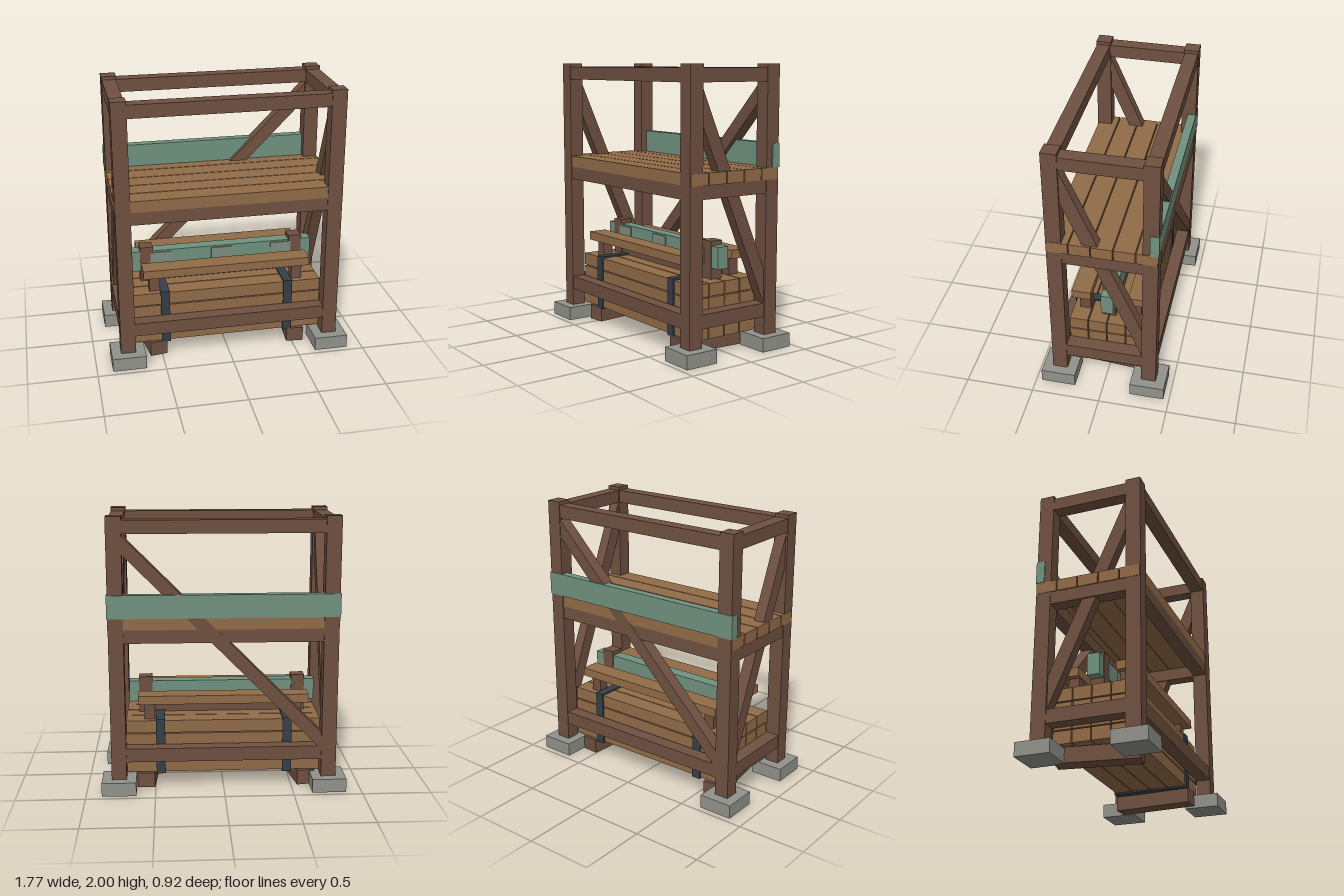
import * as THREE from 'three';

const mat = (name, color) => {
  const m = new THREE.MeshStandardMaterial({ color });
  m.name = name;
  return m;
};

export function createModel() {
  const model = new THREE.Group();
  model.name = 'timberRack';
  const timber = mat('dark timber', 0x6e5040);
  const plank = mat('plank wood', 0x916b47);
  const green = mat('green paint', 0x70917f);
  const stone = mat('footing concrete', 0x91928a);
  const steel = mat('strap steel', 0x353f47);
  const plate = mat('grey plate', 0x7e8d80);

  // Box given by its lower and upper limits on each axis
  const box = (name, m, x0, x1, y0, y1, z0, z1) => {
    const mesh = new THREE.Mesh(new THREE.BoxGeometry(x1 - x0, y1 - y0, z1 - z0), m);
    mesh.position.set((x0 + x1) / 2, (y0 + y1) / 2, (z0 + z1) / 2);
    mesh.name = name;
    model.add(mesh);
    return mesh;
  };
  // Diagonal brace with ends cut flush against the posts
  const brace = (name, points, depth) => {
    const shape = new THREE.Shape(points.map(([a, b]) => new THREE.Vector2(a, b)));
    const geo = new THREE.ExtrudeGeometry(shape, { depth, bevelEnabled: false });
    const mesh = new THREE.Mesh(geo, timber);
    mesh.name = name;
    model.add(mesh);
    return mesh;
  };

  // Posts on footings
  for (const sx of [-1, 1]) for (const sz of [-1, 1]) {
    const x = sx * 0.762, z = sz * 0.332;
    box('post', timber, x - 0.054, x + 0.054, 0.1, 2, z - 0.054, z + 0.054);
    box('footing', stone, x - 0.124, x + 0.124, 0, 0.1, z - 0.126, z + 0.126);
  }

  // Three levels of rails on all four sides
  for (const [y0, y1] of [[0.23, 0.33], [1.11, 1.205], [1.88, 1.975]]) {
    for (const s of [-1, 1]) {
      box('longRail', timber, -0.71, 0.71, y0, y1, s * 0.332 - 0.049, s * 0.332 + 0.049);
      box('endRail', timber, s * 0.762 - 0.05, s * 0.762 + 0.05, y0, y1, -0.28, 0.28);
    }
  }

  // Back and end braces
  brace('backBrace', [[0.71, 1.87], [-0.71, 0.43], [-0.71, 0.3], [0.71, 1.74]], 0.09)
    .position.z = -0.382;
  for (const s of [-1, 1]) {
    const b = brace('endBrace', [[-0.278, 1.86], [-0.278, 1.615], [0.278, 0.33], [0.278, 0.573]], 0.08);
    b.rotation.y = Math.PI / 2;
    b.position.x = s * 0.762 - 0.04;
  }

  // Upper deck and its back board
  for (let i = -2; i <= 2; i++) {
    const z = i * 0.154;
    box('deckPlank', plank, -0.819, 0.819, 1.204, 1.288, z - 0.073, z + 0.073);
  }
  box('backBoard', green, -0.823, 0.823, 1.288, 1.455, -0.39, -0.327);

  // Bearers lying slightly askew under the stack
  for (const [x, yaw] of [[-0.567, 0.15], [0.546, -0.08]]) {
    const b = box('bearer', timber, x - 0.064, x + 0.064, 0, 0.11, -0.29, 0.29);
    b.rotation.y = yaw;
  }

  // Stacked planks, four by four
  for (let row = 0; row < 4; row++) for (let col = 0; col < 4; col++) {
    const y = 0.115 + row * 0.1, z = (col - 1.5) * 0.138;
    box('stackPlank', plank, -0.708, 0.708, y, y + 0.092, z - 0.065, z + 0.065);
  }

  // Steel straps around the stack
  for (const x of [-0.467, 0.459]) {
    const a = x - 0.033, b = x + 0.033;
    box('strapTop', steel, a, b, 0.508, 0.52, -0.284, 0.284);
    box('strapBottom', steel, a, b, 0.104, 0.115, -0.284, 0.284);
    for (const s of [-1, 1])
      box('strapSide', steel, a, b, 0.104, 0.52, s * 0.279 - 0.006, s * 0.279 + 0.006);
  }

  // Trestle on the stack: beam, uprights, blocks and side planks
  box('trestleBeam', timber, -0.57, 0.57, 0.507, 0.605, -0.04, 0.04);
  for (const s of [-1, 1]) {
    box('trestleUpright', timber, s * 0.568 - 0.049, s * 0.568 + 0.049, 0.507, 0.778, -0.049, 0.049);
    for (const z of [-0.188, 0.188])
      box('trestleBlock', timber, s * 0.537 - 0.039, s * 0.537 + 0.039, 0.507, 0.632, z - 0.04, z + 0.04);
    const z = s * 0.207;
    box('sidePlank', plank, -0.622, 0.62, 0.63, 0.693, z - 0.07, z + 0.07);
  }

  // Green centre board with three plates on its front
  box('centreBoard', green, -0.69, 0.69, 0.588, 0.745, -0.045, 0.045);
  for (const x of [-0.46, 0, 0.457])
    box('boardPlate', plate, x - 0.08, x + 0.08, 0.605, 0.733, 0.045, 0.054);

  return model;
}
